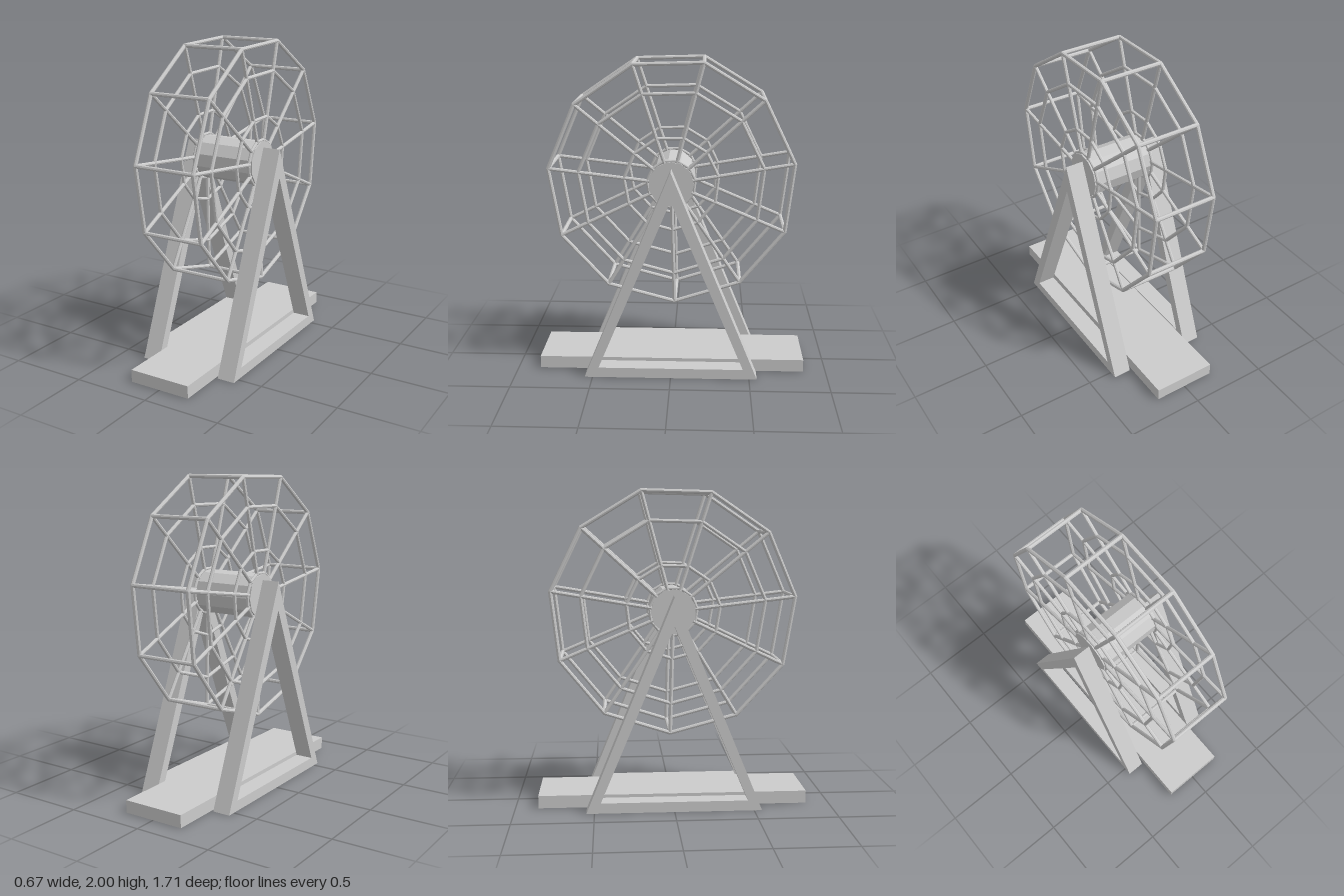
import * as THREE from 'three';

const SIDES = 11;
const AXLE_Y = 1.243;
const RIM = 0.768;
const RAIL_X = 0.2;
const TUBE = 0.013;
const START = -Math.PI / 2 - 0.026; // angle of the lowest spoke

export function createModel() {
  const model = new THREE.Group();
  const material = new THREE.MeshStandardMaterial({ color: 0xcccccc, flatShading: true });

  const add = (parent, name, geometry) => {
    const mesh = new THREE.Mesh(geometry, material);
    mesh.name = name;
    parent.add(mesh);
    return mesh;
  };

  // Point on the wheel, in its own y-z plane
  const onWheel = (x, radius, i) => {
    const a = START + (i / SIDES) * Math.PI * 2;
    return new THREE.Vector3(x, radius * Math.sin(a), radius * Math.cos(a));
  };

  // Straight round bar between two points
  const bar = (parent, name, from, to, radius) => {
    const dir = to.clone().sub(from);
    const mesh = add(parent, name, new THREE.CylinderGeometry(radius, radius, dir.length(), 8));
    mesh.position.copy(from).add(to).multiplyScalar(0.5);
    mesh.quaternion.setFromUnitVectors(new THREE.Vector3(0, 1, 0), dir.normalize());
  };

  // Base plank
  add(model, 'base', new THREE.BoxGeometry(0.41, 0.08, 1.71)).position.y = 0.04;

  // Triangular side supports, open in the middle
  const triangle = new THREE.Shape([
    new THREE.Vector2(-0.55, 0), new THREE.Vector2(0.55, 0), new THREE.Vector2(0, 1.345),
  ]);
  triangle.holes.push(new THREE.Path([
    new THREE.Vector2(-0.46, 0.065), new THREE.Vector2(0, 1.165), new THREE.Vector2(0.46, 0.065),
  ]));
  for (const side of [-1, 1]) {
    const support = new THREE.ExtrudeGeometry(triangle, { depth: 0.116, bevelEnabled: false });
    support.translate(0, 0, -0.058).rotateY(-Math.PI / 2);
    add(model, side > 0 ? 'leftSupport' : 'rightSupport', support).position.x = side * 0.278;
  }

  const wheel = new THREE.Group();
  wheel.name = 'wheel';
  wheel.position.y = AXLE_Y;
  model.add(wheel);

  // Hub drum
  add(wheel, 'hub', new THREE.CylinderGeometry(0.142, 0.142, 0.432, SIDES)
    .rotateY(Math.PI).rotateZ(Math.PI / 2));

  // Two faces of concentric polygon rings and spokes
  const rings = [
    ['hubRing', 0.15, 0.01], ['innerRing', 0.295, 0.011],
    ['middleRing', 0.58, 0.012], ['outerRim', RIM, TUBE],
  ];
  for (const x of [-RAIL_X, RAIL_X]) {
    for (const [name, radius, tube] of rings) {
      const ring = new THREE.TorusGeometry(radius, tube, 8, SIDES);
      ring.rotateZ(START).rotateY(-Math.PI / 2);
      add(wheel, name, ring).position.x = x;
    }
    for (let i = 0; i < SIDES; i++) {
      bar(wheel, 'spoke', onWheel(x, 0.13, i), onWheel(x, RIM, i), 0.012);
    }
  }

  // Cross bars joining the two rims
  for (let i = 0; i < SIDES; i++) {
    bar(wheel, 'crossBar', onWheel(-RAIL_X, RIM, i), onWheel(RAIL_X, RIM, i), TUBE);
  }

  return model;
}
